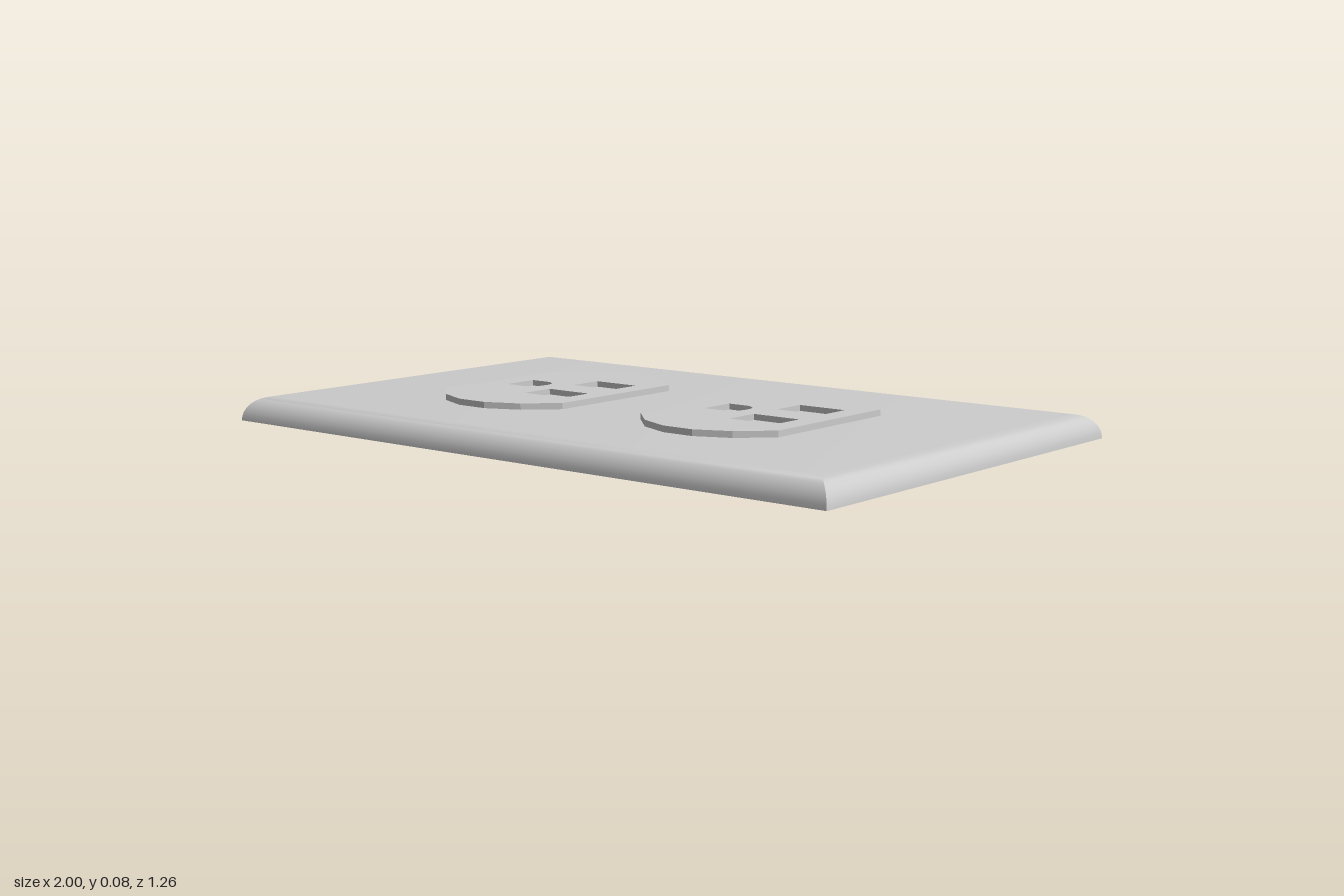
import * as THREE from 'three';
import { toCreasedNormals } from 'three/addons/utils/BufferGeometryUtils.js';

const W = 1, D = 0.632, H = 0.066; // plate half width, half depth, height
const TOP = 0.083, BASE = 0.056;

const material = new THREE.MeshStandardMaterial({ color: 0xcccccc, side: THREE.DoubleSide });

// Hollow cover plate: stacked rectangular loops that curve inwards, capped on top
function plateGeometry() {
  const steps = 8, radius = 0.062, pos = [], index = [];
  for (let i = 0; i <= steps; i++) {
    const a = (i / steps) * Math.PI / 2;
    const inset = radius * (1 - Math.cos(a)), y = H * Math.sin(a);
    const w = W - inset, d = D - inset;
    pos.push(-w, y, d, w, y, d, w, y, -d, -w, y, -d);
  }
  for (let i = 0; i < steps; i++) {
    for (let j = 0; j < 4; j++) {
      const a = i * 4 + j, b = i * 4 + (j + 1) % 4;
      index.push(a, b, b + 4, a, b + 4, a + 4);
    }
  }
  const t = steps * 4;
  index.push(t, t + 1, t + 2, t, t + 2, t + 3);
  const geo = new THREE.BufferGeometry();
  geo.setAttribute('position', new THREE.Float32BufferAttribute(pos, 3));
  geo.setIndex(index);
  return toCreasedNormals(geo, 0.6);
}

// Closed outline mirrored about the x axis from its upper half
function mirrored(half) {
  const lower = half.map(([x, y]) => [x, -y]).reverse();
  return [...half, ...lower].map(([x, y]) => new THREE.Vector2(x, y));
}

const rect = (x0, x1, y0, y1) =>
  [[x0, y0], [x1, y0], [x1, y1], [x0, y1]].map(p => new THREE.Vector2(...p));

// Extrudes a plan shape upwards between two heights
function slab(shape, y0, y1) {
  const geo = new THREE.ExtrudeGeometry(shape, { depth: y1 - y0, bevelEnabled: false });
  return geo.rotateX(-Math.PI / 2).translate(0, y0, 0);
}

function mesh(geo, name) {
  const m = new THREE.Mesh(geo, material);
  m.name = name;
  return m;
}

function receptacle(x, name) {
  const outline = mirrored([
    [-0.223, 0.225], [-0.142, 0.305], [-0.047, 0.346],
    [0.047, 0.346], [0.142, 0.305], [0.223, 0.225],
  ]);
  const face = new THREE.Shape(outline);
  // Two blade slots and one D-shaped ground hole
  const openings = [
    rect(0.013, 0.158, 0.053, 0.154),
    rect(0.013, 0.158, -0.15, -0.049),
    mirrored([[-0.147, 0.053], [-0.08, 0.053], [-0.055, 0.036], [-0.047, 0.015]]),
  ];
  for (const points of openings) face.holes.push(new THREE.Path(points));

  const group = new THREE.Group();
  group.name = name;
  group.add(
    mesh(slab(face, H, TOP), 'receptacleFace'),
    mesh(slab(new THREE.Shape(outline), BASE, H + 0.001), 'receptacleBase'),
  );
  group.position.x = x;
  return group;
}

export function createModel() {
  const model = new THREE.Group();
  model.name = 'wallOutlet';
  model.add(
    mesh(plateGeometry(), 'coverPlate'),
    receptacle(-0.378, 'rightReceptacle'),
    receptacle(0.343, 'leftReceptacle'),
  );
  return model;
}
